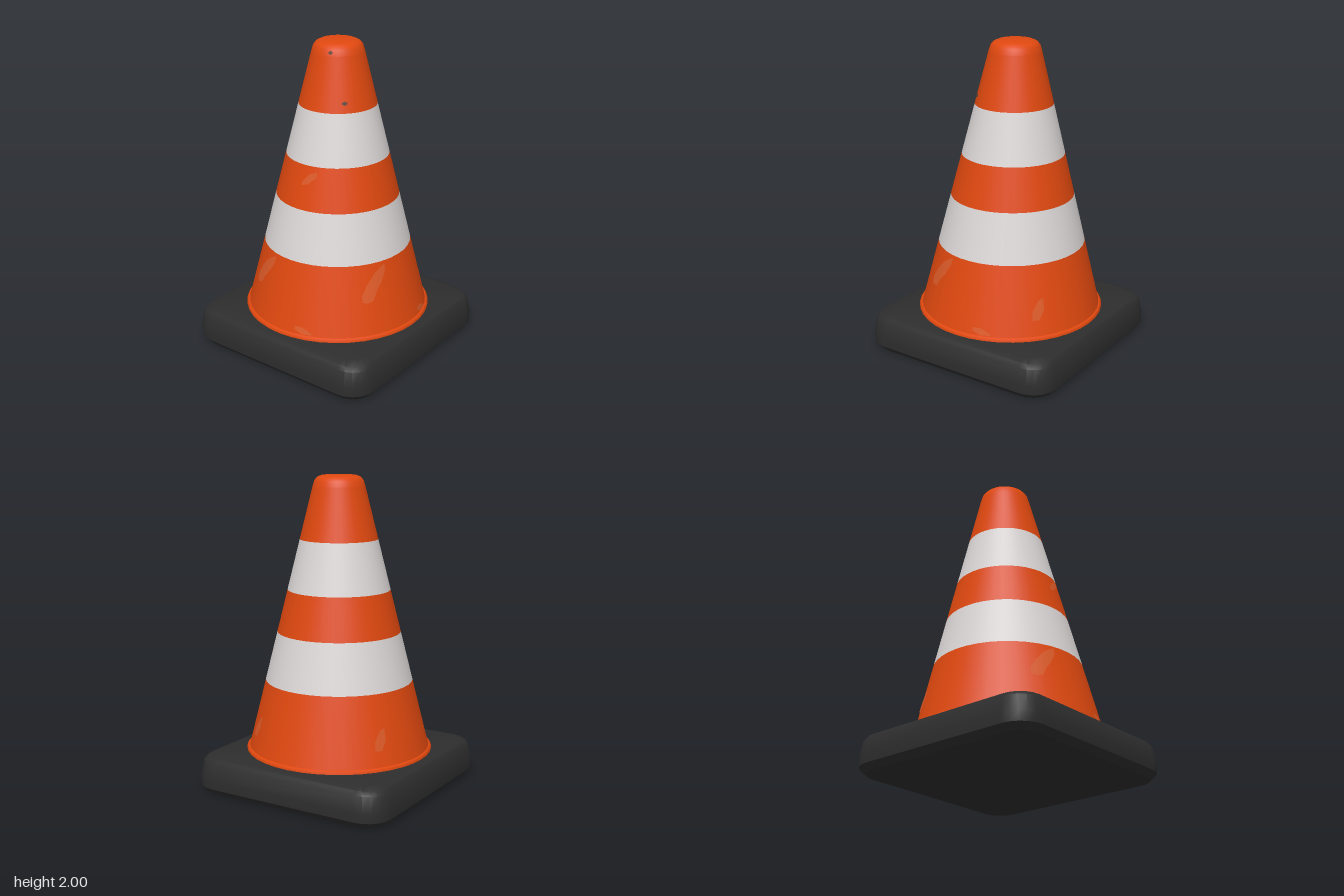
import * as THREE from 'three';
import { toCreasedNormals } from 'three/addons/utils/BufferGeometryUtils.js';

const material = (name, color, side = THREE.FrontSide) => {
  const m = new THREE.MeshStandardMaterial({ color, side });
  m.name = name;
  return m;
};

// Radius of the tapering body at height y
const bodyRadius = (y) => 0.585 - (y - 0.25) * 0.25;

// The body leans very slightly back and to its right
const lean = (geometry) => {
  const p = geometry.attributes.position;
  for (let i = 0; i < p.count; i++) {
    const t = Math.max(0, (p.getY(i) - 0.25) / 1.75);
    p.setX(i, p.getX(i) - 0.015 * t);
    p.setZ(i, p.getZ(i) - 0.027 * t);
  }
  return geometry;
};

const lathe = (points, segments = 40) =>
  lean(new THREE.LatheGeometry(points.map(([r, y]) => new THREE.Vector2(r, y)), segments));

// Soft square slab lofted from rounded-square rings
function slabGeometry(rings, steps = 5) {
  const positions = [], index = [], n = 4 * (steps + 1);
  for (const [half, y, radius] of rings) {
    for (let c = 0; c < 4; c++) {
      const mid = Math.PI / 4 + c * Math.PI / 2;
      const cx = Math.sign(Math.sin(mid)) * (half - radius);
      const cz = Math.sign(Math.cos(mid)) * (half - radius);
      for (let s = 0; s <= steps; s++) {
        const a = (c + s / steps) * Math.PI / 2;
        positions.push(cx + radius * Math.sin(a), y, cz + radius * Math.cos(a));
      }
    }
  }
  const last = rings.length - 1;
  positions.push(0, rings[0][1], 0, 0, rings[last][1], 0);
  const bottom = rings.length * n, top = bottom + 1;
  for (let i = 0; i < n; i++) {
    const j = (i + 1) % n;
    for (let k = 0; k < last; k++) {
      const a = k * n + i, b = k * n + j;
      index.push(a, b, b + n, a, b + n, a + n);
    }
    index.push(bottom, j, i, top, last * n + i, last * n + j);
  }
  const g = new THREE.BufferGeometry();
  g.setAttribute('position', new THREE.Float32BufferAttribute(positions, 3));
  g.setIndex(index);
  return toCreasedNormals(g, 0.6);
}

// Thin mark hugging the body; columns are [angle, low, high]
function markGeometry(columns, turn = 0) {
  const positions = [], index = [];
  columns.forEach(([angle, low, high], i) => {
    for (const y of [low, high]) {
      const r = bodyRadius(y) + 0.005;
      positions.push(r * Math.sin(angle + turn), y, r * Math.cos(angle + turn));
    }
    if (i) {
      const a = 2 * i - 2;
      index.push(a, a + 2, a + 3, a, a + 3, a + 1);
    }
  });
  const g = new THREE.BufferGeometry();
  g.setAttribute('position', new THREE.Float32BufferAttribute(positions, 3));
  g.setIndex(index);
  lean(g).computeVertexNormals();
  return g;
}

export function createModel() {
  const orange = material('orange plastic', 0xe0480f);
  const white = material('white band', 0xdcd7d7);
  const rubber = material('black rubber', 0x2d2d2d);
  const scuffed = material('scuffed orange', 0xdd5a28, THREE.DoubleSide);
  const grime = material('dark grime', 0x5c4438, THREE.DoubleSide);

  const group = new THREE.Group();
  group.name = 'trafficCone';
  const add = (name, geometry, mat) => {
    const mesh = new THREE.Mesh(geometry, mat);
    mesh.name = name;
    group.add(mesh);
  };

  // Rubber foot: [half width, height, corner radius]
  add('base', slabGeometry([
    [0.65, 0, 0.14], [0.685, 0.04, 0.16], [0.688, 0.1, 0.16],
    [0.67, 0.2, 0.15], [0.65, 0.225, 0.14], [0.6, 0.24, 0.12],
  ]), rubber);

  // Thin lip where the body meets the foot
  add('lip', lathe([[0.6, 0.225], [0.602, 0.247], [0.592, 0.26], [0.575, 0.262]]), orange);

  // Alternating bands up the body
  const heights = [0.23, 0.695, 1.01, 1.28, 1.6, 1.93];
  for (let i = 0; i < heights.length - 1; i++) {
    const [a, b] = [heights[i], heights[i + 1]];
    add(i % 2 ? 'whiteBand' : 'orangeBand',
      lathe([[bodyRadius(a), a], [bodyRadius(b), b]]), i % 2 ? white : orange);
  }

  // Rounded closed tip
  add('tip', lathe([
    [bodyRadius(1.93), 1.93], [0.154, 1.965], [0.138, 1.985], [0.11, 1.997], [0, 2],
  ]), orange);

  // Worn patches, some repeated on the next face round
  const smear = [[-0.62, 0.47, 0.51], [-0.55, 0.46, 0.57], [-0.48, 0.47, 0.61],
    [-0.42, 0.53, 0.64], [-0.35, 0.57, 0.66], [-0.27, 0.64, 0.68]];
  const nick = [[0.18, 0.29, 0.31], [0.27, 0.268, 0.31], [0.38, 0.27, 0.28]];
  const streak = [[-0.08, 0.36, 0.41], [0, 0.36, 0.48], [0.06, 0.42, 0.49]];
  for (const turn of [0, Math.PI / 2]) {
    add('smear', markGeometry(smear, turn), scuffed);
    add('nick', markGeometry(nick, turn), scuffed);
  }
  for (const turn of [2.49, -2.1]) add('streak', markGeometry(streak, turn), scuffed);
  add('scratch', markGeometry([[0, 1.16, 1.18], [0.12, 1.17, 1.23], [0.28, 1.22, 1.25]]), scuffed);

  // Two small dark spots near the tip
  for (const [angle, y] of [[0.37, 1.952], [0.83, 1.66]]) {
    add('spot', markGeometry([[-0.07, y - 0.005, y + 0.005], [0, y - 0.012, y + 0.012],
      [0.07, y - 0.005, y + 0.005]], angle), grime);
  }
  return group;
}
